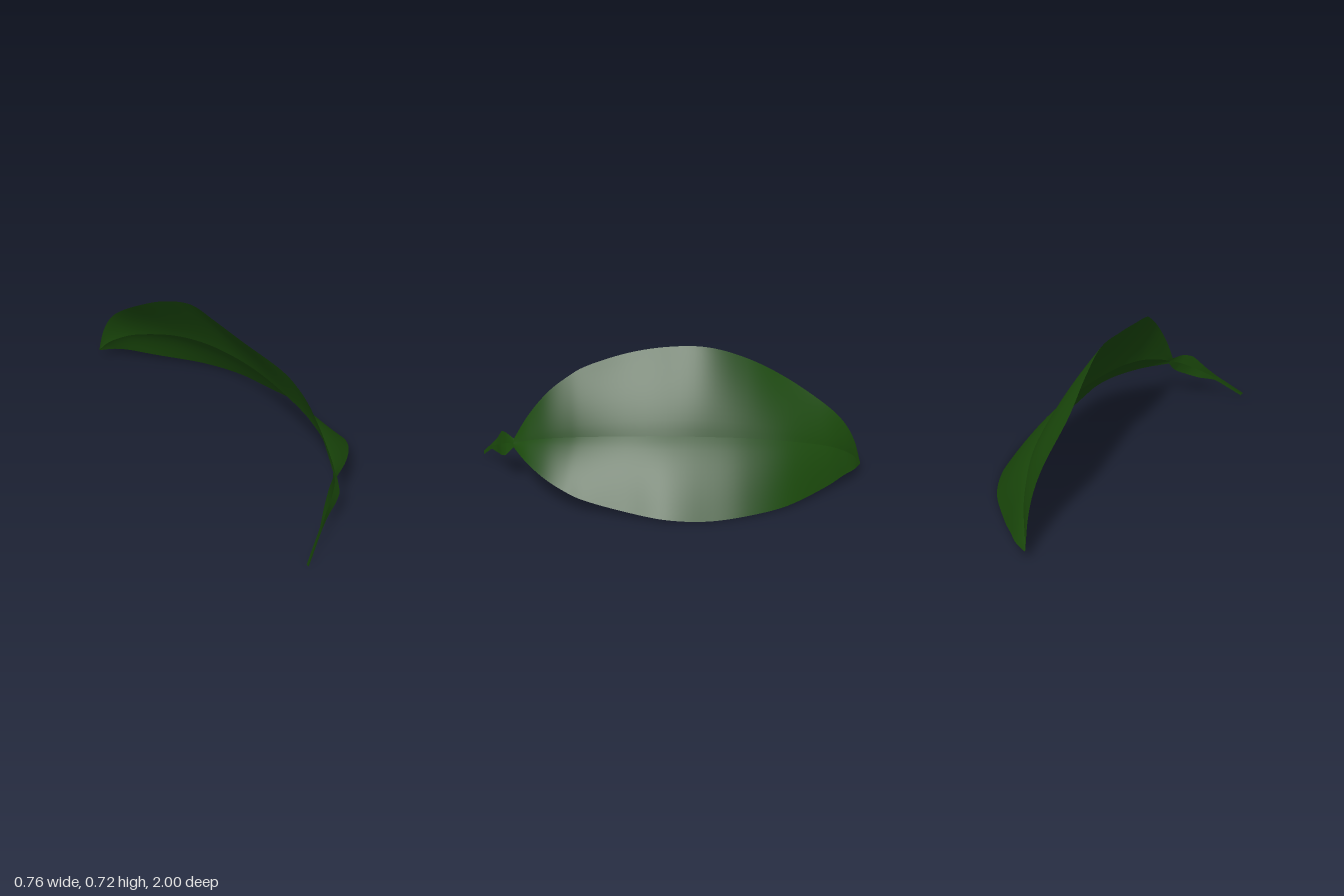
import * as THREE from 'three';

const curve = (tension, pts) =>
  new THREE.CatmullRomCurve3(pts.map((p) => new THREE.Vector3(...p)), false, 'catmullrom', tension);

// Winged stalk, from its foot to the pinch below the blade
const stalk = {
  midrib: curve(0.3, [
    [-0.372, 0.014, 1], [-0.306, 0.064, 0.965], [-0.24, 0.113, 0.93], [-0.18, 0.15, 0.893],
    [-0.125, 0.18, 0.862], [-0.075, 0.207, 0.825], [-0.03, 0.228, 0.78],
  ]),
  upper: curve(0.3, [
    [-0.38, 0.022, 1], [-0.314, 0.074, 0.965], [-0.247, 0.126, 0.93], [-0.193, 0.184, 0.89],
    [-0.135, 0.247, 0.855], [-0.088, 0.26, 0.825], [-0.045, 0.247, 0.78],
  ]),
  lower: curve(0.3, [
    [-0.367, 0.005, 1], [-0.301, 0.053, 0.965], [-0.235, 0.099, 0.93], [-0.16, 0.114, 0.885],
    [-0.09, 0.134, 0.855], [-0.04, 0.157, 0.825], [-0.02, 0.21, 0.78],
  ]),
};

// Blade, from the pinch to the tip
const blade = {
  midrib: curve(0.5, [
    [-0.03, 0.228, 0.78], [0.007, 0.261, 0.7], [0.043, 0.289, 0.6], [0.066, 0.306, 0.5],
    [0.082, 0.318, 0.4], [0.098, 0.331, 0.2], [0.102, 0.336, 0], [0.09, 0.329, -0.2],
    [0.06, 0.311, -0.4], [0.005, 0.273, -0.6], [-0.085, 0.21, -0.8], [-0.143, 0.157, -0.9],
    [-0.185, 0.108, -0.96], [-0.21, 0.056, -1],
  ]),
  upper: curve(0.5, [
    [-0.045, 0.247, 0.78], [-0.043, 0.38, 0.7], [-0.04, 0.503, 0.6], [-0.05, 0.583, 0.5],
    [-0.073, 0.636, 0.4], [-0.12, 0.688, 0.2], [-0.14, 0.715, 0], [-0.143, 0.713, -0.2],
    [-0.172, 0.645, -0.4], [-0.2, 0.532, -0.6], [-0.194, 0.393, -0.8], [-0.196, 0.295, -0.9],
    [-0.203, 0.19, -0.96], [-0.212, 0.058, -1],
  ]),
  lower: curve(0.5, [
    [-0.02, 0.21, 0.78], [0.105, 0.185, 0.7], [0.215, 0.152, 0.6], [0.28, 0.118, 0.5],
    [0.308, 0.082, 0.4], [0.337, 0.038, 0.2], [0.378, 0.017, 0], [0.36, 0.002, -0.2],
    [0.308, 0.008, -0.4], [0.205, 0.014, -0.6], [0.03, 0.032, -0.8], [-0.07, 0.051, -0.9],
    [-0.135, 0.054, -0.96], [-0.207, 0.053, -1],
  ]),
};

// Thin sheet between the midrib and one edge, arched outward by a share of its width;
// the arch changes from arch[0] at the base to arch[1] at the tip
function halfSheet(midrib, edge, arch, flip) {
  const rows = (midrib.points.length - 1) * 6, cols = 12;
  const position = [], index = [];
  const outward = new THREE.Vector3(0.8, 0.6, 0);
  for (let i = 0; i <= rows; i++) {
    const t = i / rows;
    const a = midrib.getPoint(t), b = edge.getPoint(t);
    const lift = THREE.MathUtils.lerp(arch[0], arch[1], t) * a.distanceTo(b);
    for (let j = 0; j <= cols; j++) {
      const v = j / cols;
      const p = a.clone().lerp(b, v).addScaledVector(outward, lift * Math.sin(Math.PI * v ** 0.8));
      position.push(p.x, p.y, p.z);
      if (i < rows && j < cols) {
        const k = i * (cols + 1) + j, n = k + cols + 1;
        if (flip) index.push(k, k + 1, n, k + 1, n + 1, n);
        else index.push(k, n, k + 1, k + 1, n, n + 1);
      }
    }
  }
  const geometry = new THREE.BufferGeometry();
  geometry.setAttribute('position', new THREE.Float32BufferAttribute(position, 3));
  geometry.setIndex(index);
  geometry.computeVertexNormals();
  return geometry;
}

export function createModel() {
  const group = new THREE.Group();
  group.name = 'leaf';
  const green = new THREE.MeshStandardMaterial({ color: 0x1a480b, side: THREE.DoubleSide });

  // Two halves meeting in a crease along the midrib
  const addHalves = (name, { midrib, upper, lower }, upperArch, lowerArch) => {
    const upperHalf = new THREE.Mesh(halfSheet(midrib, upper, upperArch, false), green);
    const lowerHalf = new THREE.Mesh(halfSheet(midrib, lower, lowerArch, true), green);
    upperHalf.name = `${name}UpperHalf`;
    lowerHalf.name = `${name}LowerHalf`;
    group.add(upperHalf, lowerHalf);
  };

  addHalves('stalk', stalk, [0, 0], [0, 0]);
  addHalves('blade', blade, [0.015, 0.045], [0.025, 0.05]);

  return group;
}
